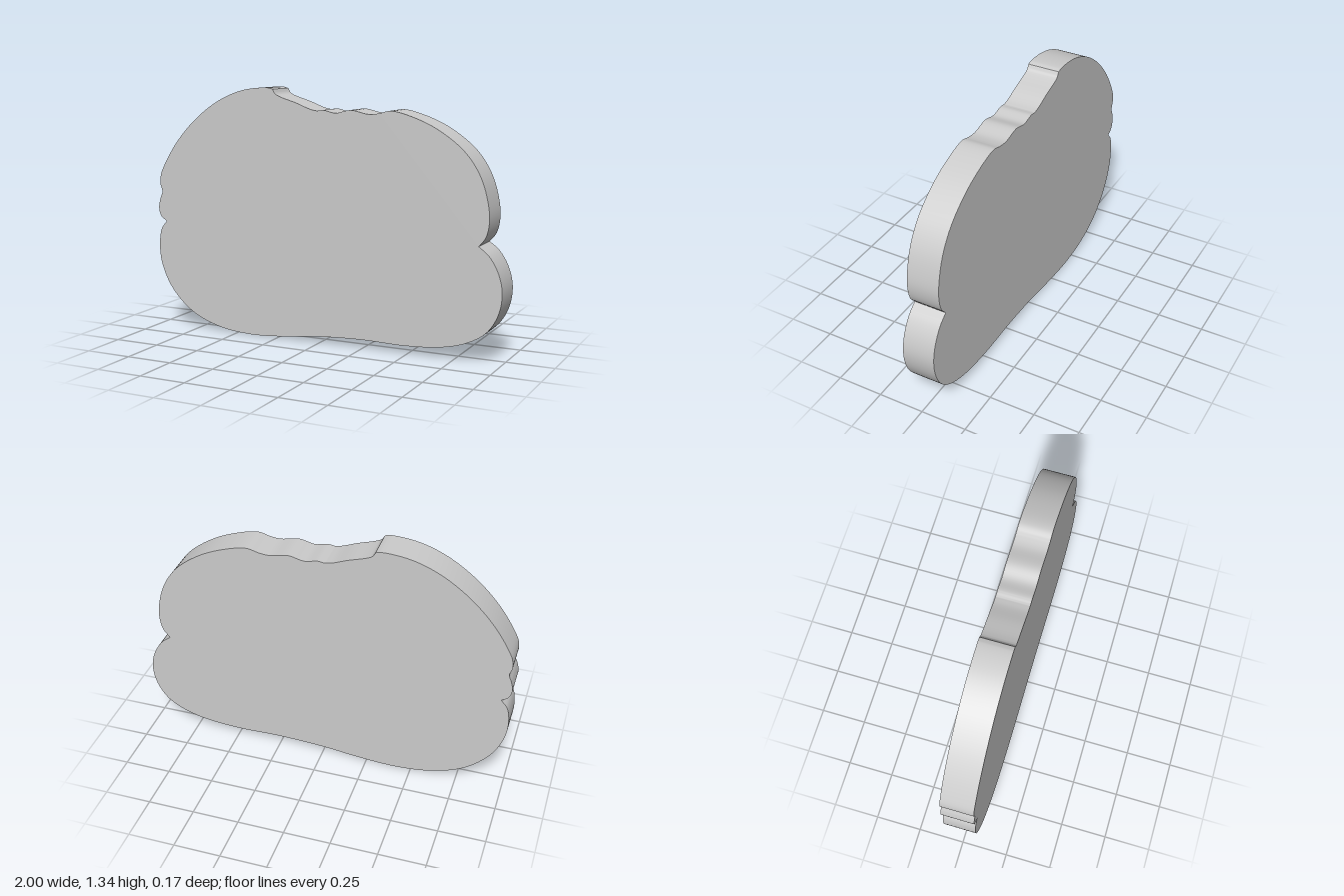
import * as THREE from 'three';
import { toCreasedNormals } from 'three/addons/utils/BufferGeometryUtils.js';

const DEPTH = 0.175;

// Smooth outline runs, counter-clockwise; each joins the next at a sharp notch
const RUNS = [
  // lower lobe: right notch, round the base, to the left notch
  [[0.875, 0.59], [0.93, 0.545], [0.98, 0.46], [1, 0.36], [0.98, 0.25], [0.92, 0.157], [0.82, 0.096],
    [0.69, 0.06], [0.5, 0.044], [0.25, 0.047], [0, 0.035], [-0.2, 0.012], [-0.42, 0], [-0.62, 0.023],
    [-0.79, 0.09], [-0.92, 0.21], [-0.985, 0.34], [-1, 0.45], [-0.985, 0.545], [-0.95, 0.59]],
  // small left bump, then the tall upper left lobe
  [[-0.95, 0.59], [-0.985, 0.615], [-1, 0.66], [-0.99, 0.715], [-0.976, 0.755], [-0.988, 0.8],
    [-0.983, 0.85], [-0.95, 0.92], [-0.87, 1.04], [-0.75, 1.165], [-0.6, 1.27], [-0.45, 1.328],
    [-0.3, 1.343], [-0.27, 1.336]],
  // step and wavy dip along the top
  [[-0.27, 1.336], [-0.255, 1.312], [-0.225, 1.297], [-0.13, 1.267], [-0.05, 1.237], [-0.01, 1.229]],
  [[-0.01, 1.229], [0.025, 1.234], [0.095, 1.221], [0.18, 1.238], [0.28, 1.22], [0.34, 1.226],
    [0.4, 1.24], [0.52, 1.213], [0.66, 1.152], [0.8, 1.047], [0.88, 0.93], [0.92, 0.8],
    [0.927, 0.71], [0.91, 0.635], [0.875, 0.59]],
];

export function createModel() {
  const group = new THREE.Group();

  const outline = RUNS.flatMap((run) => {
    const curve = new THREE.CatmullRomCurve3(run.map(([x, y]) => new THREE.Vector3(x, y, 0)), false, 'centripetal');
    const points = curve.getPoints((run.length - 1) * 6).map((p) => new THREE.Vector2(p.x, p.y));
    return points.slice(0, -1); // the next run supplies the shared corner
  });

  // flat slab with smooth rim and sharp face edges
  const slab = new THREE.ExtrudeGeometry(new THREE.Shape(outline), { depth: DEPTH, bevelEnabled: false });
  slab.translate(0, 0, -DEPTH / 2);
  const mesh = new THREE.Mesh(
    toCreasedNormals(slab, Math.PI / 6),
    new THREE.MeshStandardMaterial({ color: 0xcccccc }),
  );
  mesh.name = 'slab';
  group.add(mesh);
  return group;
}
